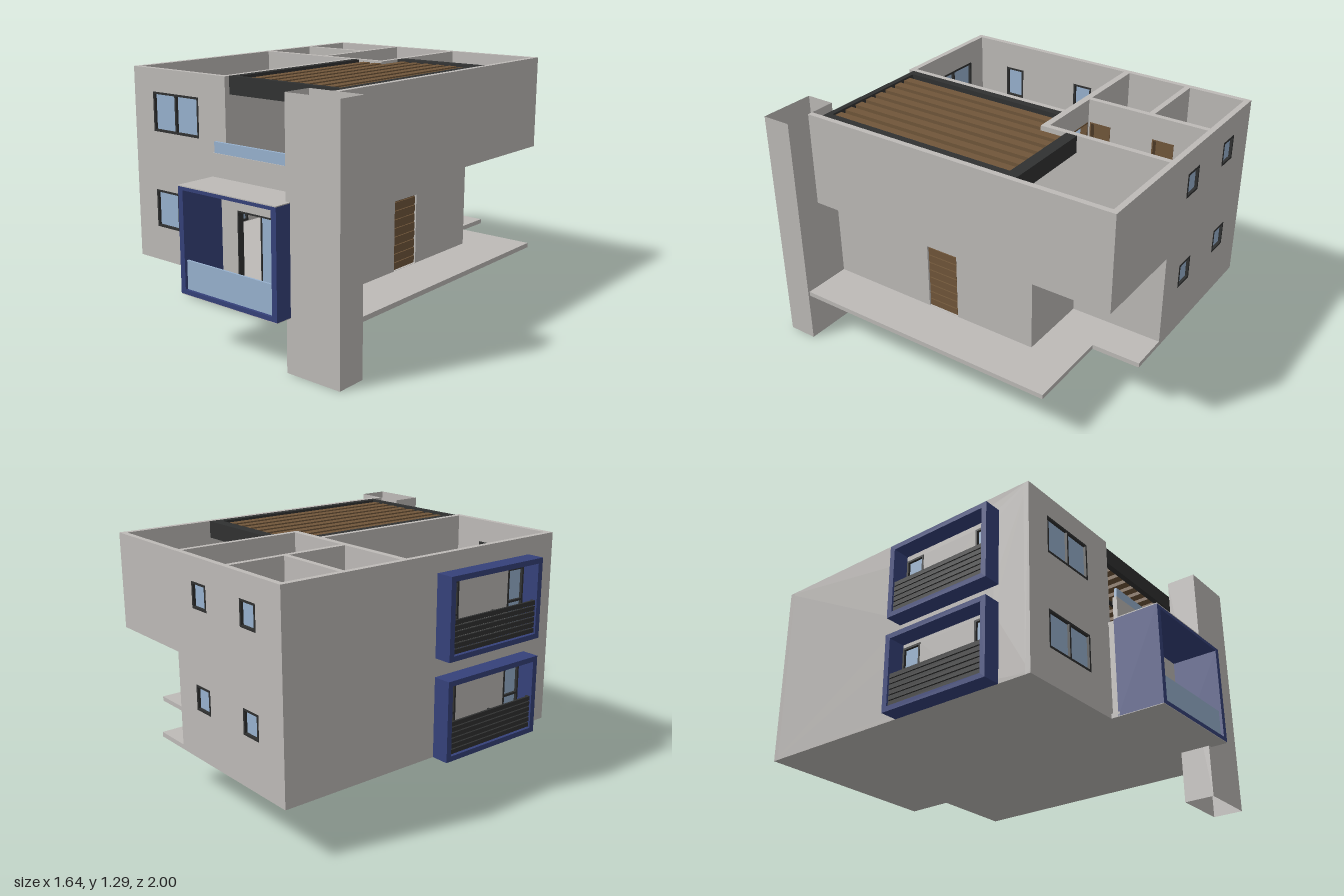
import * as THREE from 'three';

const mat = (name, color, side = THREE.FrontSide) => {
  const m = new THREE.MeshStandardMaterial({ color, side });
  m.name = name;
  return m;
};

export function createModel() {
  const house = new THREE.Group();
  house.name = 'house';
  const plaster = mat('grey plaster', 0xbdbab7);
  const sheet = mat('grey sheet', 0xbdbab7, THREE.DoubleSide);
  const blue = mat('navy frame', 0x35417a);
  const glass = mat('pale blue glass', 0x98b2cf);
  const wood = mat('brown wood', 0x70563a);
  const dark = mat('charcoal metal', 0x303131);

  const add = (name, geo, m) => {
    const mesh = new THREE.Mesh(geo, m);
    mesh.name = name;
    house.add(mesh);
    return mesh;
  };
  // box given by its min and max on each axis
  const box = (name, m, x0, x1, y0, y1, z0, z1) => {
    const g = new THREE.BoxGeometry(x1 - x0, y1 - y0, z1 - z0);
    return add(name, g.translate((x0 + x1) / 2, (y0 + y1) / 2, (z0 + z1) / 2), m);
  };
  const rect = (u0, v0, u1, v1) => [[u0, v0], [u1, v0], [u1, v1], [u0, v1]];
  // outline with holes, extruded along an axis from a to b
  const plate = (name, m, axis, a, b, outline, holes = []) => {
    const pts = (l) => l.map(([u, v]) => new THREE.Vector2(u, v));
    const s = new THREE.Shape(pts(outline));
    holes.forEach((h) => s.holes.push(new THREE.Path(pts(h))));
    const g = new THREE.ExtrudeGeometry(s, { depth: b - a, bevelEnabled: false });
    if (axis === 'z') g.translate(0, 0, a);
    if (axis === 'x') g.rotateY(-Math.PI / 2).translate(b, 0, 0);
    if (axis === 'y') g.rotateX(Math.PI / 2).translate(0, b, 0);
    return add(name, g, m);
  };
  // framed window with side by side panes, filling a wall from a to b
  const windowUnit = (axis, a, b, [u0, v0, u1, v1], cols, rows = 1, f = 0.011) => {
    const holes = [];
    const w = (u1 - u0) / cols, h = (v1 - v0) / rows;
    for (let i = 0; i < cols; i++) {
      for (let j = 0; j < rows; j++) {
        holes.push(rect(u0 + i * w + (i ? f / 2 : f), v0 + j * h + (j ? f / 2 : f),
          u0 + (i + 1) * w - (i < cols - 1 ? f / 2 : f), v0 + (j + 1) * h - (j < rows - 1 ? f / 2 : f)));
      }
    }
    plate('windowFrame', dark, axis, a - 0.002, b + 0.002, rect(u0, v0, u1, v1), holes);
    const c = (a + b) / 2;
    plate('windowGlass', glass, axis, c - 0.003, c + 0.003, rect(u0 + 0.003, v0 + 0.003, u1 - 0.003, v1 - 0.003));
  };

  const G = 0.295, U = 0.785, F = 0.8, TOP = 1.29;

  // ground slab, upper slab with stair well, terrace boards
  plate('groundSlab', plaster, 'y', 0.27, G,
    [[-0.73, -1], [0.35, -1], [0.35, -0.74], [0.81, -0.74], [0.81, 0.76], [-0.09, 0.76], [-0.09, 0.71], [-0.73, 0.71]]);
  plate('upperSlab', plaster, 'y', U, F,
    [[-0.72, -0.99], [0.67, -0.99], [0.67, 0.75], [-0.08, 0.75], [-0.08, 0.7], [-0.72, 0.7]],
    [rect(-0.27, -0.97, 0.105, -0.51)]);
  plate('terraceBoards', wood, 'y', F, F + 0.005,
    [[-0.06, -0.275], [0.135, -0.275], [0.135, -0.97], [0.65, -0.97], [0.65, 0.75], [-0.06, 0.75]]);

  // front wall of the left wing
  const frontWins = [rect(-0.585, 0.965, -0.25, 1.17), rect(-0.585, 0.455, -0.25, 0.655)];
  plate('frontWall', plaster, 'z', 0.68, 0.71, rect(-0.73, 0.27, -0.06, TOP), frontWins);
  frontWins.forEach((r) => windowUnit('z', 0.68, 0.71, [...r[0], ...r[2]], 2));

  // back wall, stepping out over the open corner
  const backWins = [];
  for (const x of [-0.48, -0.08]) for (const y of [0.53, 1.04]) backWins.push(rect(x - 0.06, y, x + 0.06, y + 0.13));
  plate('backWall', plaster, 'z', -1, -0.97,
    [[-0.73, 0.27], [0.14, 0.27], [0.14, U], [0.68, U], [0.68, TOP], [-0.73, TOP]], backWins);
  backWins.forEach((r) => windowUnit('z', -1, -0.97, [...r[0], ...r[2]], 1));

  // left wall with tall windows inside the balconies
  const sideWins = [];
  for (const y of [G + 0.005, F + 0.005]) for (const z of [-0.075, 0.385]) sideWins.push(rect(z, y, z + 0.115, y + 0.34));
  plate('leftWall', plaster, 'x', -0.73, -0.7, rect(-1, 0.27, 0.71, TOP), sideWins);
  sideWins.forEach((r) => windowUnit('x', -0.73, -0.7, [...r[0], ...r[2]], 1, 2));

  // right side: overhanging upper wall and recessed lower walls
  plate('upperRightWall', plaster, 'x', 0.65, 0.68, rect(-1, U, 0.75, TOP));
  plate('lowerRightWall', plaster, 'x', 0.51, 0.54, rect(-0.5, G, 0.75, U), [rect(-0.045, G + 0.001, 0.14, 0.66)]);
  box('lowerStepWall', plaster, 0.11, 0.54, G, U, -0.5, -0.47);
  box('lowerCornerWall', plaster, 0.11, 0.14, G, U, -1, -0.47);
  box('sideDoor', wood, 0.518, 0.528, G, 0.66, -0.045, 0.14);
  for (let i = 0; i < 8; i++) {
    const y = G + 0.006 + i * 0.045;
    box('sideDoorSlat', wood, 0.512, 0.535, y, y + 0.035, -0.04, 0.135);
  }

  // lower front wall with sliding door
  plate('lowerFrontWall', plaster, 'z', 0.72, 0.75, rect(-0.09, G, 0.54, U), [rect(0.05, G + 0.001, 0.39, 0.655)]);
  plate('slidingDoorFrame', dark, 'z', 0.718, 0.753, rect(0.05, G, 0.39, 0.655), [rect(0.056, G + 0.006, 0.382, 0.647)]);
  box('slidingDoorGlass', glass, 0.2, 0.385, G, 0.65, 0.732, 0.738);
  box('slidingDoorBar', dark, 0.36, 0.368, G, 0.65, 0.73, 0.744);
  box('slidingDoorEdge', dark, 0.195, 0.201, G, 0.65, 0.73, 0.744);

  // inner walls with door openings on both floors
  for (const [y0, y1] of [[G, U], [F, TOP]]) {
    const d = y0 + 0.001, h = y0 + 0.365;
    const hall = [rect(-0.26, d, -0.105, h), rect(-0.05, d, 0.1, h)];
    const rooms = [rect(-0.8, d, -0.68, h), rect(-0.44, d, -0.32, h)];
    plate('hallWall', plaster, 'z', -0.31, -0.275, rect(-0.7, y0, 0.135, y1), hall);
    plate('roomWall', plaster, 'x', -0.3, -0.27, rect(-0.97, y0, -0.31, y1), rooms);
    box('roomPartition', plaster, -0.7, -0.3, y0, y1, -0.67, -0.64);
    const jamb = (axis, a, b, r) => plate('doorFrame', wood, axis, a - 0.002, b + 0.002, r,
      [rect(r[0][0] + 0.007, d + 0.001, r[1][0] - 0.007, h - 0.007)]);
    hall.forEach((r) => jamb('z', -0.31, -0.275, r));
    rooms.forEach((r) => jamb('x', -0.3, -0.27, r));
    // door leaves standing open
    box('hallDoor', wood, -0.107, -0.093, y0, h, -0.27, -0.12);
    for (const z of [-0.675, -0.315]) {
      const leaf = add('roomDoor', new THREE.BoxGeometry(0.013, 0.36, 0.14).translate(0, 0.18, -0.07), wood);
      leaf.position.set(-0.318, y0, z);
      leaf.rotation.y = -0.13;
    }
  }
  box('stairWall', plaster, 0.105, 0.135, F, TOP, -0.97, -0.31);
  box('terraceWall', plaster, -0.09, -0.06, F, TOP, -0.275, 0.69);

  // winding stair: flight, fan of winders, flight
  const drop = 0.0275, mid = -0.0825;
  const fan = [[-0.27, -0.76], [-0.27, -0.9], [-0.2, -0.97], [mid, -0.97], [0.035, -0.97], [0.105, -0.9], [0.105, -0.76]];
  for (let i = 0; i < 6; i++) {
    const z = -0.51 - i * 0.0417, y = F - (i + 1) * drop;
    box('upperTread', wood, -0.27, mid, y - 0.04, y, z - 0.0417, z);
    const yw = y - 6 * drop;
    plate('winderTread', wood, 'y', yw - 0.04, yw, [[mid, -0.76], fan[i], fan[i + 1]]);
    const yl = y - 12 * drop + 0.01, zl = -0.76 + i * 0.0417;
    box('lowerTread', wood, mid, 0.105, Math.max(yl - 0.04, 0.28), yl, zl, zl + 0.0417);
  }

  // pergola over the terrace
  box('pergolaBack', dark, 0.135, 0.65, 1.2, TOP, -0.48, -0.42);
  box('pergolaFront', dark, -0.06, 0.65, 1.2, TOP, 0.65, 0.68);
  box('pergolaLeft', dark, -0.06, -0.02, 1.2, TOP, -0.275, 0.65);
  box('pergolaRight', dark, 0.61, 0.65, 1.2, TOP, -0.42, 0.65);
  for (let i = 0; i < 8; i++) {
    const x = 0.01 + i * 0.077;
    box('pergolaSlat', wood, x, x + 0.047, 1.215, 1.28, x < 0.12 ? -0.275 : -0.42, 0.65);
  }
  for (const z of [-0.345, -0.17, 0.035, 0.24, 0.45]) {
    box('pergolaBeam', dark, z < -0.3 ? 0.135 : -0.02, 0.61, 1.205, 1.25, z - 0.011, z + 0.011);
  }

  // terrace parapet and glass rail
  box('terraceParapet', plaster, -0.09, 0.51, F, 0.925, 0.75, 0.775);
  box('terraceRailGlass', glass, -0.08, 0.505, 0.925, 0.98, 0.755, 0.77);

  // front bay with navy surround and glass rail
  plate('frontBaySurround', blue, 'z', 0.75, 1, rect(-0.09, 0.273, 0.535, 0.802),
    [rect(-0.06, G, 0.505, 0.785)]);
  box('frontBayRoof', plaster, -0.09, 0.535, 0.802, 0.807, 0.75, 1);
  box('frontBayBase', plaster, -0.09, 0.535, 0.27, 0.273, 0.71, 1);
  box('frontBayFloor', plaster, -0.06, 0.505, G, G + 0.002, 0.75, 0.97);
  box('frontBayGlass', glass, -0.06, 0.505, G, 0.44, 0.975, 0.985);

  // side balconies with slatted rails
  for (const y of [0.27, 0.783]) {
    plate('balconySurround', blue, 'x', -0.825, -0.73, rect(-0.105, y, 0.53, y + 0.417),
      [rect(-0.075, y + 0.027, 0.5, y + 0.39)]);
    for (let i = 0; i < 6; i++) {
      const s = y + 0.032 + i * 0.029;
      box('balconyRailSlat', dark, -0.815, -0.803, s, s + 0.023, -0.075, 0.5);
    }
    for (const z of [-0.075, 0.205, 0.49]) box('balconyRailPost', dark, -0.803, -0.793, y + 0.027, y + 0.2, z, z + 0.01);
  }

  // hollow corner pier, open at both ends
  for (const z of [0.75, 0.91]) {
    add('cornerPier', new THREE.PlaneGeometry(0.31, TOP).translate(0.665, TOP / 2, z), sheet);
  }
  for (const x of [0.51, 0.82]) {
    add('cornerPier', new THREE.PlaneGeometry(0.16, TOP).rotateY(Math.PI / 2).translate(x, TOP / 2, 0.83), sheet);
  }
  return house;
}
